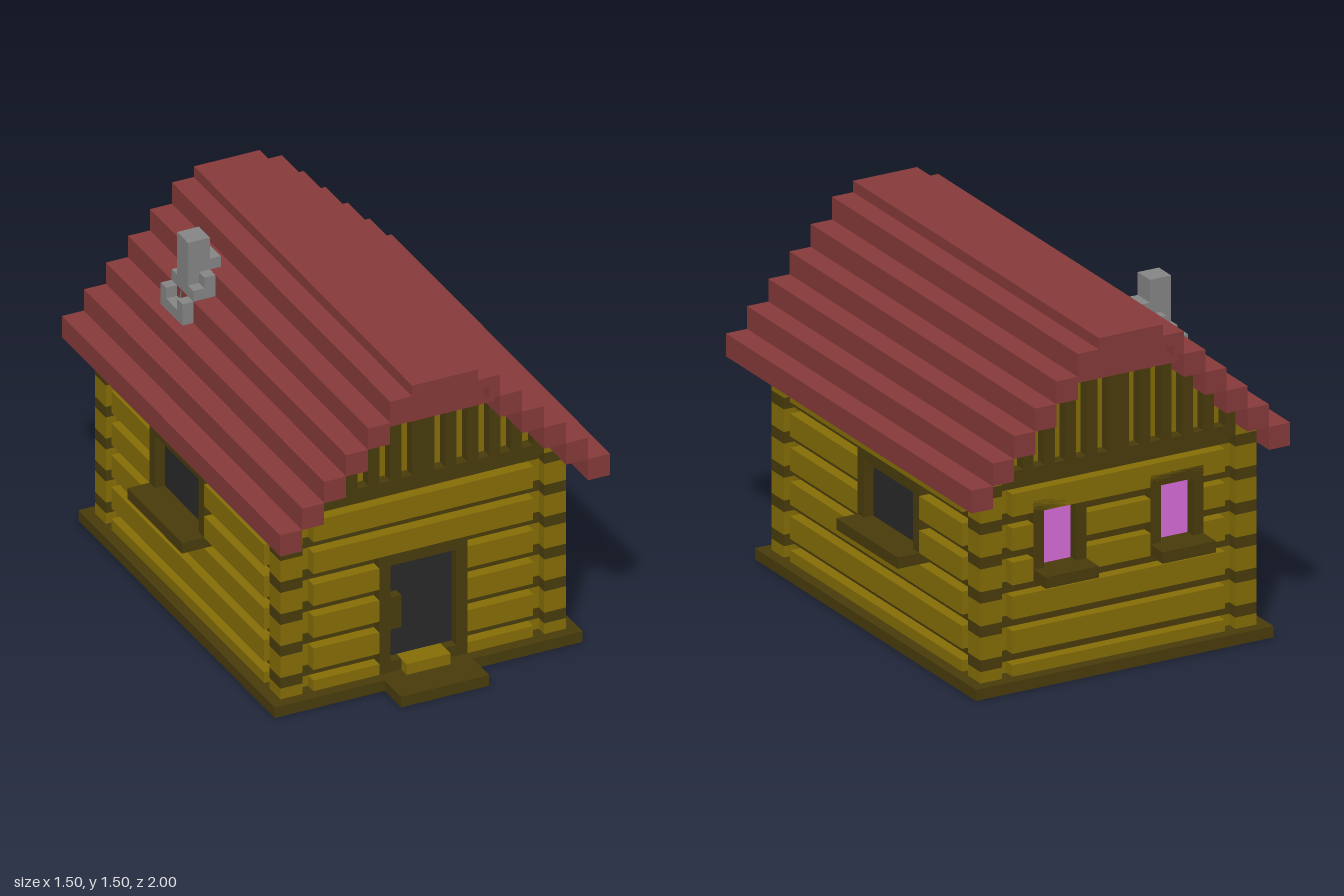
import * as THREE from 'three';

const mat = (name, color) => {
  const m = new THREE.MeshStandardMaterial({ color });
  m.name = name;
  return m;
};

export function createModel() {
  const light = mat('lightWood', 0x866e06);
  const dark = mat('darkWood', 0x493c0c);
  const red = mat('roofRed', 0x873a3a);
  const stone = mat('chimneyGrey', 0x868686);
  const glass = mat('darkGlass', 0x292929);
  const pane = mat('violetGlass', 0xd86cdb);
  const cabin = new THREE.Group();
  cabin.name = 'logCabin';

  // Axis-aligned block given by its limits
  const block = (name, m, x0, x1, y0, y1, z0, z1) => {
    const g = new THREE.BoxGeometry(x1 - x0, y1 - y0, z1 - z0);
    g.translate((x0 + x1) / 2, (y0 + y1) / 2, (z0 + z1) / 2);
    const mesh = new THREE.Mesh(g, m);
    mesh.name = name;
    cabin.add(mesh);
  };
  // The same block on both sides of x = 0
  const pair = (name, m, x0, x1, ...rest) => {
    block(name, m, x0, x1, ...rest);
    block(name, m, -x1, -x0, ...rest);
  };
  const postEnds = [[-0.9, -0.8], [0.7, 0.8]];

  // Base slab with the light floor showing underneath
  block('baseSlab', dark, -0.7, 0.7, 0.001, 0.05, -0.95, 0.85);
  block('floorUnderside', light, -0.6, 0.6, 0, 0.01, -0.85, 0.75);
  for (const [z0, z1] of postEnds)
    pair('postFoot', light, 0.55, 0.65, 0, 0.01, z0, z1);
  block('frontStep', dark, -0.2, 0.2, 0, 0.05, 0.85, 1);
  block('doorStep', light, -0.1, 0.1, 0.05, 0.1, 0.75, 0.85);

  // Striped wall core and corner posts, bottom to top
  const stripe = (m, y0, y1) => {
    block('wallCore', m, -0.6, 0.6, y0, y1, -0.85, 0.75);
    for (const [z0, z1] of postEnds)
      pair('cornerPost', m, 0.55, 0.65, y0, y1, z0, z1);
  };
  for (let i = 0; i < 6; i++) {
    const y0 = i === 0 ? 0.05 : 0.15 * i;
    const y1 = 0.15 * i + 0.1;
    stripe(light, y0, y1);
    stripe(dark, y1, y1 + 0.05);
    // Logs flush with the posts, parted around doors and windows
    if (i < 4) pair('frontLog', light, 0.2, 0.5, y0, y1, 0.75, 0.8);
    else block('frontLog', light, -0.5, 0.5, y0, y1, 0.75, 0.8);
    if (i < 3 || i > 4) {
      block('backLog', light, -0.5, 0.5, y0, Math.min(y1, y0 + 0.1), -0.9, -0.85);
    } else {
      block('backLog', light, -0.15, 0.15, y0, y1, -0.9, -0.85);
      pair('backLog', light, 0.4, 0.5, y0, y1, -0.9, -0.85);
    }
    if (i === 3 || i === 4) {
      pair('sideLog', light, 0.6, 0.65, y0, y1, -0.75, -0.4);
      pair('sideLog', light, 0.6, 0.65, y0, y1, 0.1, 0.65);
    } else pair('sideLog', light, 0.6, 0.65, y0, y1, -0.75, 0.65);
  }
  pair('topSideLog', light, 0.55, 0.65, 0.9, 0.95, -0.9, 0.8);
  block('gableBeam', dark, -0.55, 0.55, 0.9, 0.95, -0.9, 0.8);

  // Gable boards, dark ones standing proud of light ones
  for (let i = 0; i < 11; i++) {
    const x = i * 0.05;
    const top = i < 5 ? 1.3 : i < 7 ? 1.25 : i < 9 ? 1.15 : 1.05;
    if (i % 2) pair('gableInfill', light, x, x + 0.05, 0.95, top, -0.85, 0.75);
    else pair('gableBoard', dark, x, x + 0.05, 0.95, top, -0.9, 0.8);
  }

  // Stepped roof
  for (let i = 0; i < 5; i++)
    pair('roofStep', red, 0.65 - 0.1 * i, 0.75 - 0.1 * i, 0.85 + 0.1 * i, 0.95 + 0.1 * i, -1, 1);
  block('ridgeUnderside', red, -0.25, 0.25, 1.3, 1.36, -0.95, 0.95);
  block('ridgeInset', red, -0.2, 0.2, 1.35, 1.4, -0.95, 0.95);
  pair('ridgeFlank', red, 0.2, 0.25, 1.35, 1.4, -1, 1);
  block('ridge', red, -0.25, 0.25, 1.4, 1.45, -1, 1);
  block('ridgeCap', red, -0.15, 0.15, 1.45, 1.5, -1, 1);

  // Chimney with stepped flashing
  block('chimney', stone, -0.45, -0.35, 1.1, 1.5, -0.55, -0.45);
  block('chimneyFlashing', stone, -0.35, -0.3, 1.3, 1.4, -0.55, -0.45);
  block('chimneyFlashing', stone, -0.5, -0.45, 1.1, 1.2, -0.55, -0.45);
  for (const z of [-0.6, -0.45]) {
    block('chimneyFlashing', stone, -0.5, -0.45, 1.1, 1.25, z, z + 0.05);
    block('chimneyFlashing', stone, -0.45, -0.4, 1.2, 1.3, z, z + 0.05);
    block('chimneyFlashing', stone, -0.4, -0.35, 1.2, 1.35, z, z + 0.05);
  }

  // Door
  block('doorPanel', glass, -0.15, 0.15, 0.1, 0.55, 0.748, 0.755);
  pair('doorJamb', dark, 0.15, 0.2, 0.05, 0.6, 0.7, 0.8);
  block('doorLintel', dark, -0.15, 0.15, 0.55, 0.6, 0.7, 0.8);
  pair('doorSill', dark, 0.1, 0.15, 0.05, 0.1, 0.7, 0.8);
  block('doorHandle', dark, -0.15, -0.1, 0.25, 0.4, 0.75, 0.8);

  // Side windows
  pair('sideWindow', glass, 0.598, 0.605, 0.45, 0.7, -0.35, 0.05);
  pair('sideWindowHead', dark, 0.55, 0.65, 0.7, 0.75, -0.4, 0.1);
  pair('sideWindowSill', dark, 0.55, 0.75, 0.4, 0.45, -0.4, 0.1);
  for (const z of [-0.4, 0.05])
    pair('sideWindowJamb', dark, 0.55, 0.65, 0.45, 0.7, z, z + 0.05);

  // Back windows
  pair('backWindow', pane, 0.2, 0.35, 0.5, 0.75, -0.855, -0.848);
  pair('backWindowHead', dark, 0.15, 0.4, 0.75, 0.8, -0.9, -0.8);
  pair('backWindowSill', dark, 0.15, 0.4, 0.45, 0.5, -1, -0.8);
  for (const x of [0.15, 0.35])
    pair('backWindowJamb', dark, x, x + 0.05, 0.5, 0.75, -0.9, -0.8);
  // Wall above and below the back windows
  pair('backLogEnd', light, 0.15, 0.4, 0.8, 0.85, -0.9, -0.85);

  return cabin;
}
